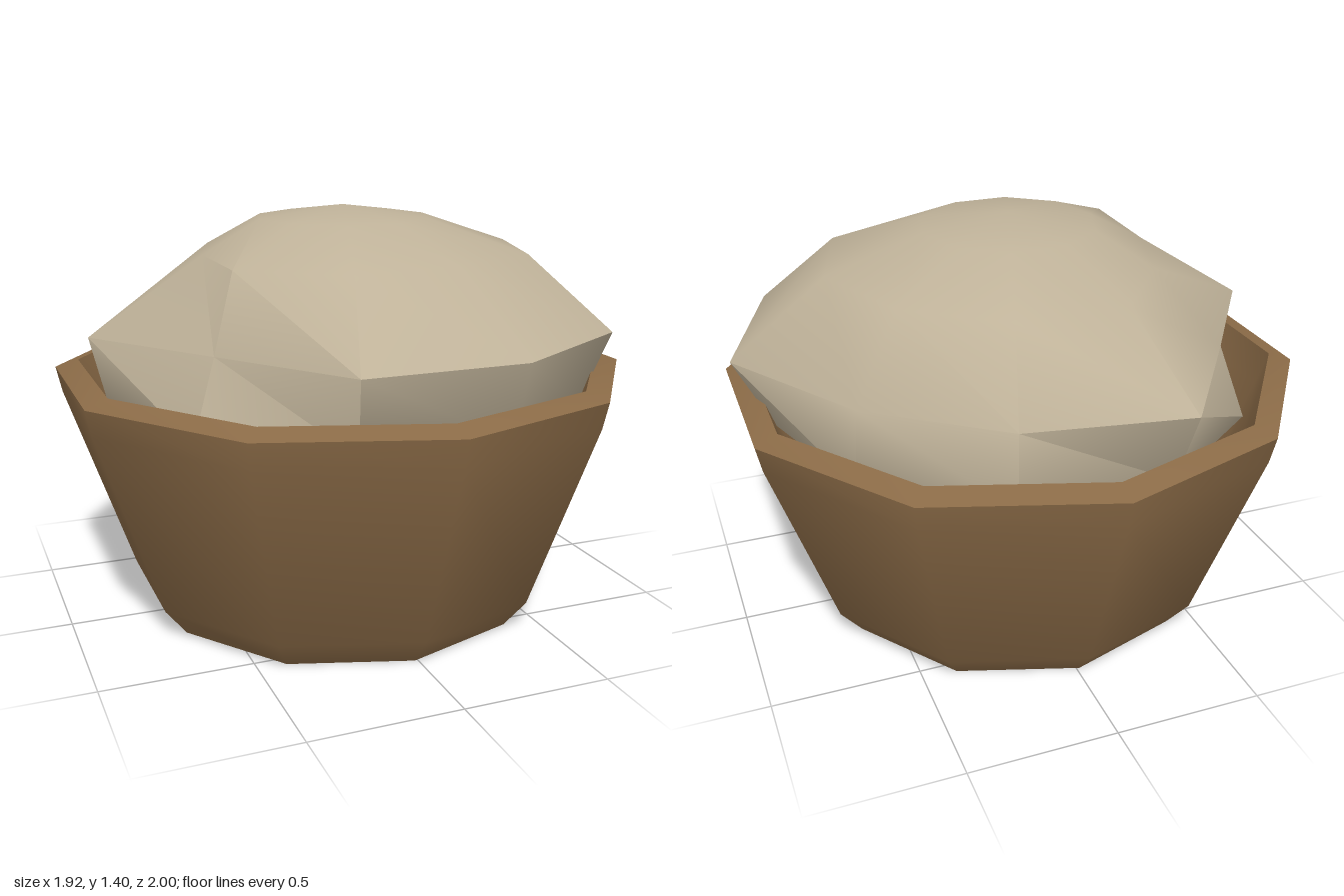
import * as THREE from 'three';
import { toCreasedNormals } from 'three/addons/utils/BufferGeometryUtils.js';

const SIDES = 10;

// Ten-sided bowl: outer wall, sloping rim, inner wall and floor
function makeBowl(material) {
  const profile = [
    [0, 0], [0.67, 0], [0.75, 0.1], [0.98, 0.75], [1, 0.84],
    [0.92, 0.865], [0.88, 0.75], [0.66, 0.14], [0, 0.12],
  ].map(([r, y]) => new THREE.Vector2(r, y));
  const bowl = new THREE.Mesh(toCreasedNormals(new THREE.LatheGeometry(profile, SIDES), 0.75), material);
  bowl.position.x = -0.01;
  bowl.name = 'bowl';
  return bowl;
}

// Lumpy filling: rings of uneven radius, from the crown down into the bowl
function makeFilling(material) {
  const even = (r) => Array(SIDES).fill(r);
  const rings = [
    { y: 1.4, radii: even(0) },
    { y: 1.36, radii: even(0.3) },
    { y: 1.25, radii: [0.63, 0.64, 0.56, 0.63, 0.62, 0.5, 0.5, 0.6, 0.6, 0.6] },
    { y: 1.0, radii: [0.955, 0.93, 0.885, 0.89, 0.72, 0.89, 0.735, 0.915, 0.82, 0.81] },
    { y: 0.75, radii: even(0.83) },
    { y: 0.5, radii: even(0.6) },
    { y: 0.45, radii: even(0) },
  ];
  const positions = [];
  const index = [];
  rings.forEach(({ y, radii }, i) => {
    radii.forEach((r, k) => {
      const angle = (k / SIDES) * Math.PI * 2;
      positions.push(r * Math.cos(angle), y, r * Math.sin(angle));
      if (i === rings.length - 1) return;
      const next = (k + 1) % SIDES;
      const a = i * SIDES + k, d = i * SIDES + next;
      const b = a + SIDES, c = d + SIDES;
      if (i > 0) index.push(a, d, b);
      if (i < rings.length - 2) index.push(d, c, b);
    });
  });
  const geometry = new THREE.BufferGeometry();
  geometry.setAttribute('position', new THREE.Float32BufferAttribute(positions, 3));
  geometry.setIndex(index);
  const filling = new THREE.Mesh(toCreasedNormals(geometry, 0.87), material);
  filling.name = 'filling';
  return filling;
}

export function createModel() {
  const wood = new THREE.MeshStandardMaterial({ color: 0x8b6b47 });
  wood.name = 'brown wood';
  const dough = new THREE.MeshStandardMaterial({ color: 0xbfb299 });
  dough.name = 'pale dough';

  const model = new THREE.Group();
  model.name = 'filledBowl';
  model.add(makeBowl(wood), makeFilling(dough));
  return model;
}
